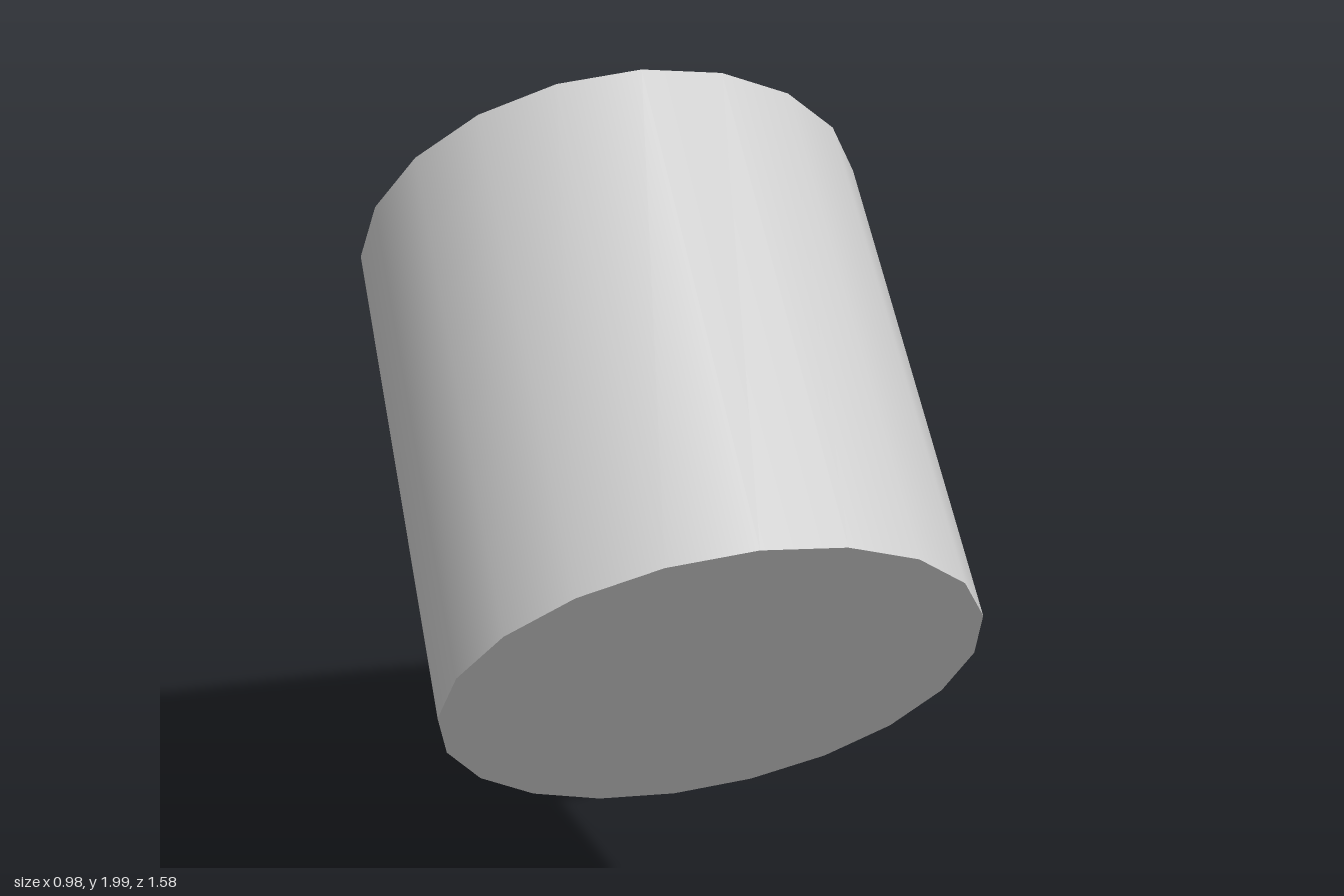
import * as THREE from 'three';

export function createModel() {
  const model = new THREE.Group();
  model.name = 'mallet';
  const material = new THREE.MeshStandardMaterial({ color: 0xcccccc });

  // Everything is built upright around the head's centre, then tilted
  const add = (name, geometry) => {
    const mesh = new THREE.Mesh(geometry, material);
    mesh.name = name;
    model.add(mesh);
  };

  // Drum-shaped head lying along z
  const headRadius = 0.49, headLength = 0.983;
  add('head', new THREE.CylinderGeometry(headRadius, headRadius, headLength, 20).rotateX(Math.PI / 2));

  // Thin handle, running from the head's centre down
  const handleRadius = 0.048, handleLength = 1.548;
  add('handle', new THREE.CylinderGeometry(handleRadius, handleRadius, handleLength, 20)
    .translate(0, -handleLength / 2, 0));

  // Lean the mallet forward, resting on the handle's end
  model.rotation.x = THREE.MathUtils.degToRad(33.7);
  model.position.set(0, 1.32, 0.11);

  const root = new THREE.Group();
  root.add(model);
  return root;
}
